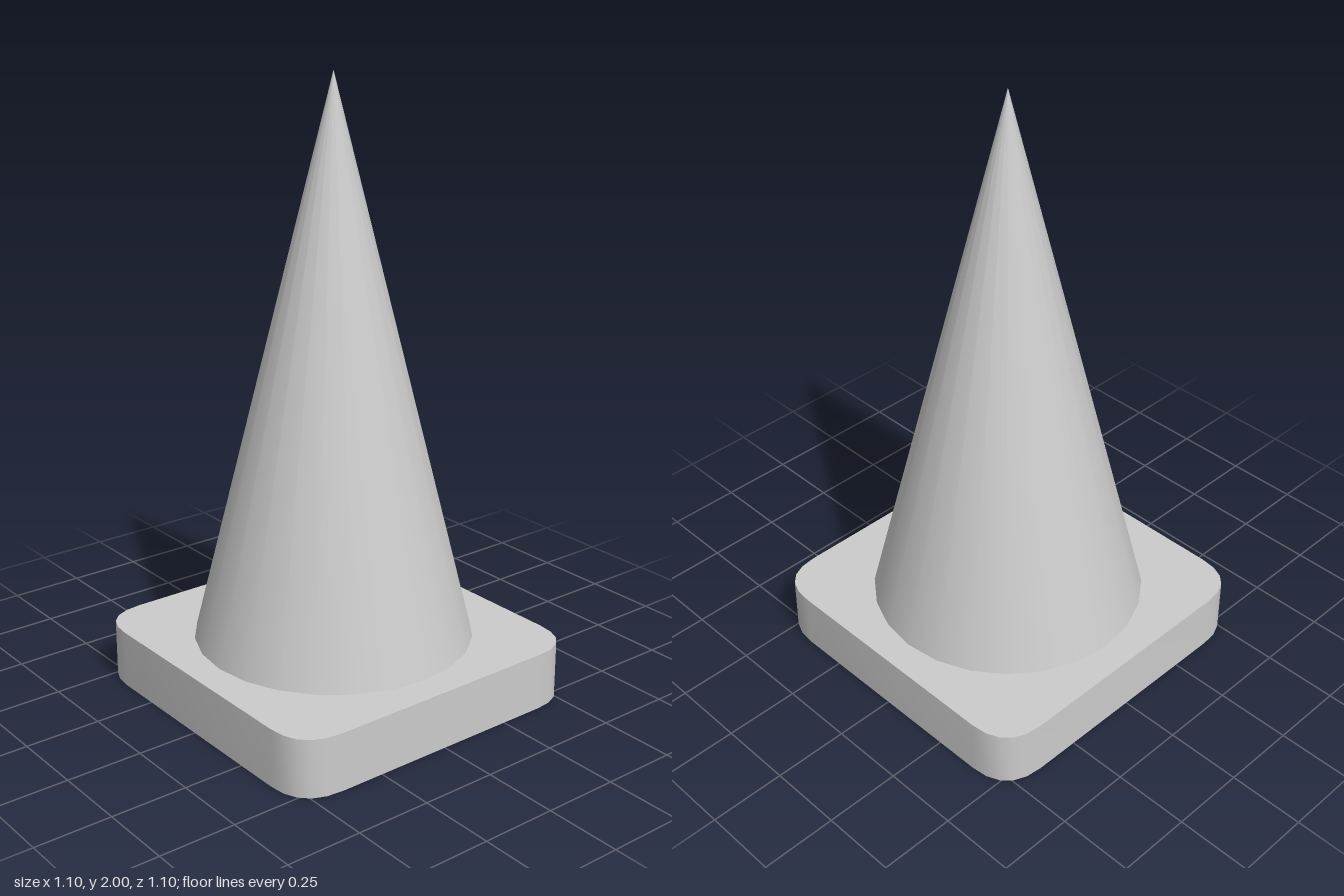
import * as THREE from 'three';
import { toCreasedNormals } from 'three/addons/utils/BufferGeometryUtils.js';

const HALF = 0.55;      // half width of the base plate
const CORNER = 0.15;    // length of each rounded corner
const BASE_H = 0.19;
const CONE_R = 0.453;

// Square outline whose corners are quadratic curves
function roundedSquare(h, c) {
  const s = new THREE.Shape();
  const i = h - c;
  s.moveTo(-i, -h);
  s.lineTo(i, -h);
  s.quadraticCurveTo(h, -h, h, -i);
  s.lineTo(h, i);
  s.quadraticCurveTo(h, h, i, h);
  s.lineTo(-i, h);
  s.quadraticCurveTo(-h, h, -h, i);
  s.lineTo(-h, -i);
  s.quadraticCurveTo(-h, -h, -i, -h);
  return s;
}

export function createModel() {
  const model = new THREE.Group();
  model.name = 'trafficCone';
  const material = new THREE.MeshStandardMaterial({ color: 0xcccccc });

  // Base plate, extruded upwards from the ground
  const plate = new THREE.ExtrudeGeometry(roundedSquare(HALF, CORNER), {
    depth: BASE_H, bevelEnabled: false, curveSegments: 5,
  });
  plate.rotateX(-Math.PI / 2);
  const base = new THREE.Mesh(toCreasedNormals(plate, 0.6), material);
  base.name = 'base';
  model.add(base);

  // Pointed cone standing on the plate
  const height = 2 - BASE_H;
  const cone = new THREE.Mesh(new THREE.ConeGeometry(CONE_R, height, 24), material);
  cone.name = 'cone';
  cone.position.y = BASE_H + height / 2;
  model.add(cone);

  return model;
}
